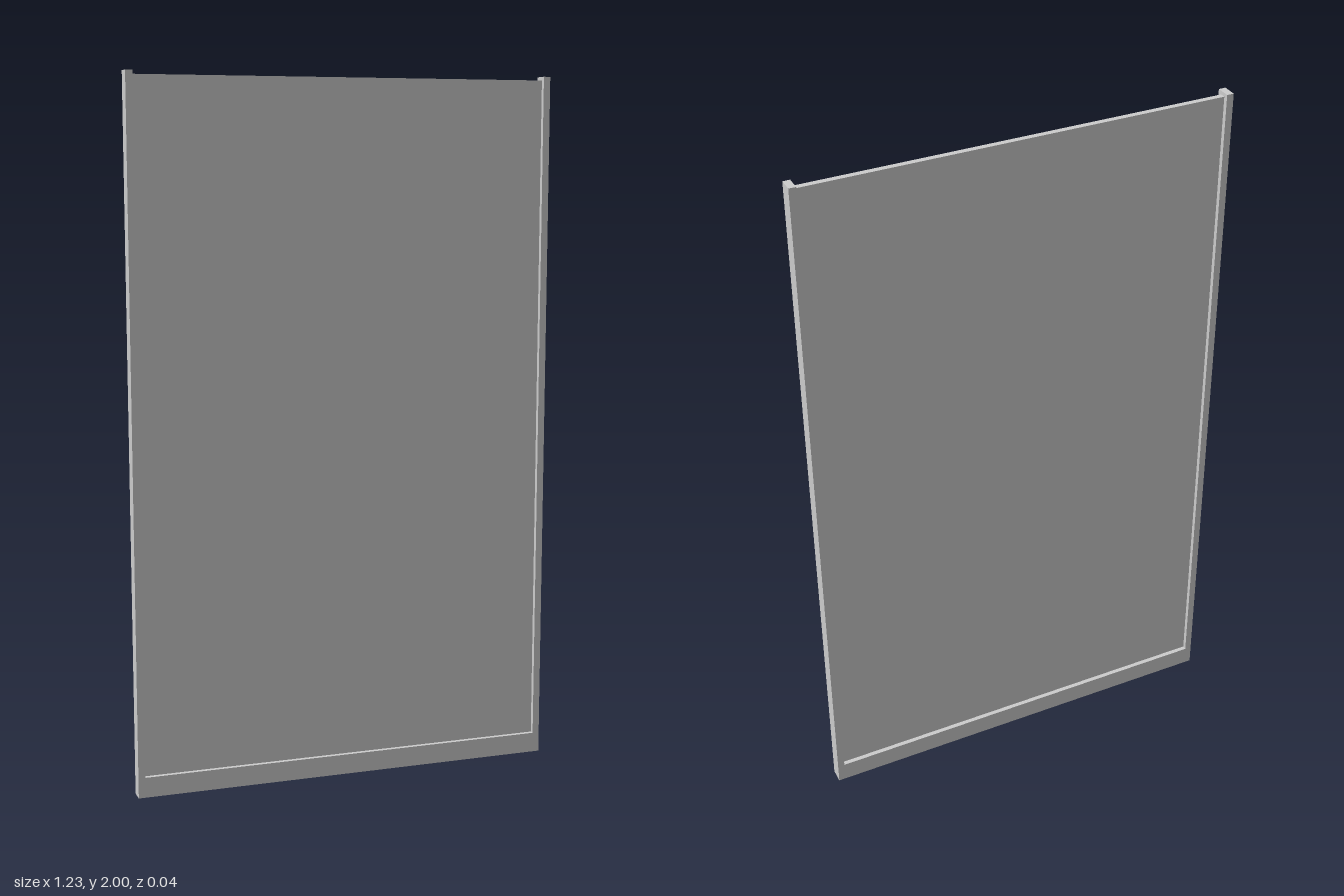
import * as THREE from 'three';

export function createModel() {
  const group = new THREE.Group();
  const material = new THREE.MeshStandardMaterial({ color: 0xcccccc });
  const outer = 0.615, inner = 0.595, sill = 0.058, height = 2, depth = 0.042;

  // U-shaped frame: bottom rail and two side posts in one piece
  const outline = new THREE.Shape([
    [-outer, 0], [outer, 0], [outer, height], [inner, height],
    [inner, sill], [-inner, sill], [-inner, height], [-outer, height],
  ].map(([x, y]) => new THREE.Vector2(x, y)));
  const frameGeometry = new THREE.ExtrudeGeometry(outline, { depth, bevelEnabled: false });
  frameGeometry.translate(0, 0, -depth / 2);
  const frame = new THREE.Mesh(frameGeometry, material);
  frame.name = 'frame';
  group.add(frame);

  // Thin panel set between the posts, slightly below their tops
  const panelTop = 1.99;
  const panel = new THREE.Mesh(new THREE.BoxGeometry(inner * 2, panelTop - sill, 0.016), material);
  panel.position.y = (panelTop + sill) / 2;
  panel.name = 'panel';
  group.add(panel);

  return group;
}
